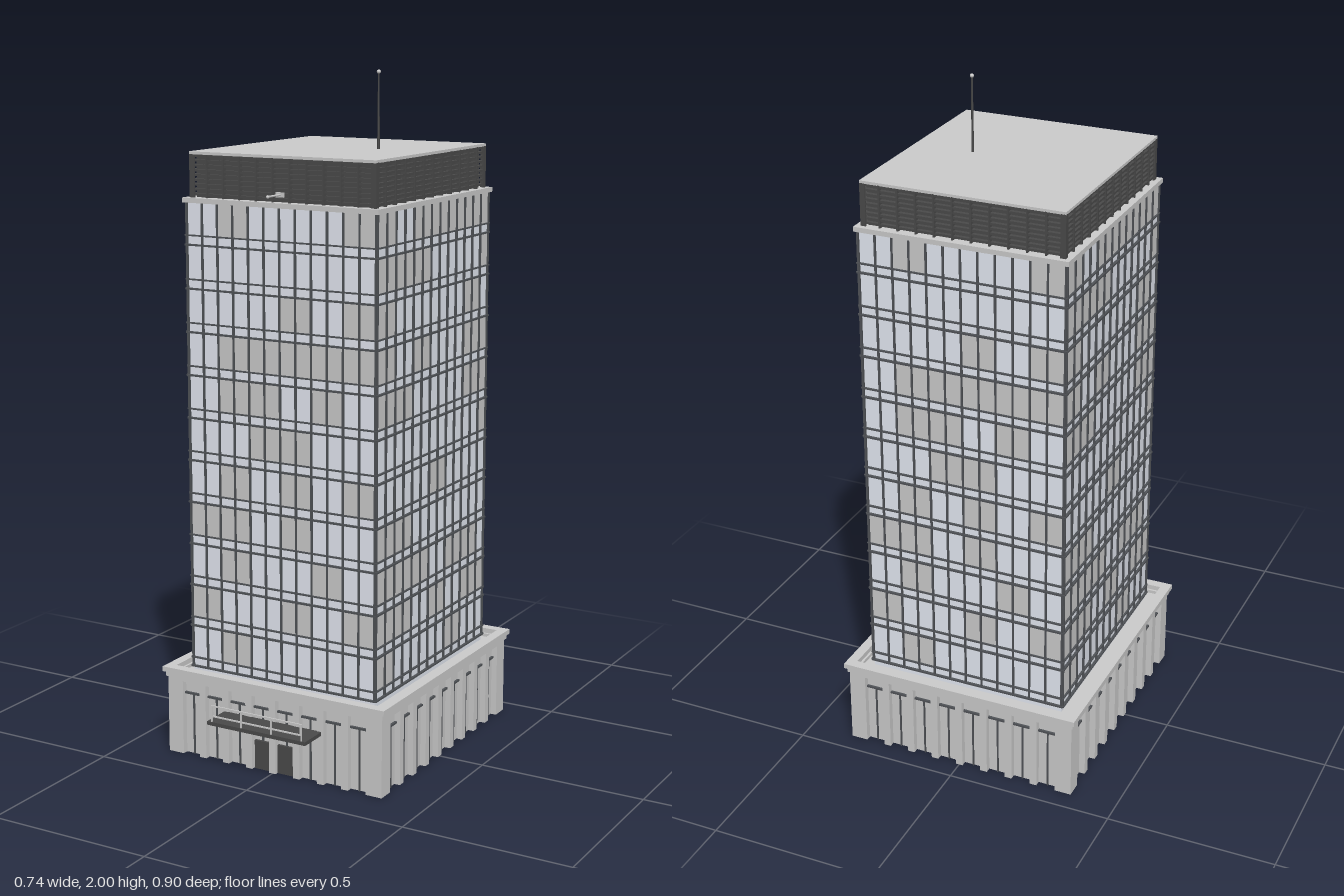
import * as THREE from 'three';
import { mergeGeometries } from 'three/addons/utils/BufferGeometryUtils.js';

const mat = (color, side = THREE.FrontSide) => new THREE.MeshStandardMaterial({ color, side });
const stone = mat(0xcccccc), dark = mat(0x4a4a4a), glass = mat(0xe4e9f2), frame = mat(0x505357);
const liner = mat(0xe4e9f2, THREE.DoubleSide);

const box = (w, h, d, x = 0, y = 0, z = 0) => new THREE.BoxGeometry(w, h, d).translate(x, y, z);

function add(parent, name, geometry, material) {
  const mesh = new THREE.Mesh(Array.isArray(geometry) ? mergeGeometries(geometry) : geometry, material);
  mesh.name = name;
  parent.add(mesh);
  return mesh;
}

// Rectangular ring with outer size w x d, rim thickness t, from y0 to y1
function ring(w, d, t, y0, y1) {
  const h = y1 - y0, y = (y0 + y1) / 2;
  return [-1, 1].flatMap(s => [
    box(w, h, t, 0, y, s * (d - t) / 2),
    box(t, h, d - 2 * t, s * (w - t) / 2, y, 0),
  ]);
}

// Calls build(sideGroup, width, index) for front, right, back and left; each side faces its local +z
function fourSides(parent, name, w, d, build) {
  ['Front', 'Left', 'Back', 'Right'].forEach((label, i) => {
    const side = new THREE.Group();
    side.name = name + label;
    side.rotation.y = i * Math.PI / 2;
    const pivot = new THREE.Group();
    pivot.position.z = (i % 2 ? w : d) / 2;
    side.add(pivot);
    build(pivot, i % 2 ? d : w, i);
    parent.add(side);
  });
}

// Drawn blinds per floor from the top, one mark per pair of panes
const BLINDS = [
  ['010001', '000000', '000101', '011111', '011010', '001100', '010101', '110100', '010010', '100101', '010000'],
  ['1011111', '1110001', '1000010', '1010011', '1100011', '0000001', '0001000', '1100000', '1110110', '1101011', '1000100'],
];

function createPodium() {
  const podium = new THREE.Group();
  podium.name = 'podium';
  const W = 0.72, D = 0.8, pitch = 0.08;

  // Walls: recessed panels between pilasters, open underneath
  fourSides(podium, 'podiumWall', W, D, (side, w) => {
    const bays = Math.round((w - 0.08) / pitch);
    add(side, 'panel', box(w - 0.04, 0.23, 0.004, 0, 0.115, -0.02), stone);
    add(side, 'innerLining', new THREE.PlaneGeometry(w - 0.05, 0.23).translate(0, 0.115, -0.025), liner);
    const pilasters = [], transoms = [];
    for (let i = 0; i <= bays; i++) {
      const x = (i - bays / 2) * pitch;
      pilasters.push(box(0.022, 0.225, 0.022, x, 0.1125, -0.011));
      if (i < bays) {
        transoms.push(box(pitch - 0.022, 0.006, 0.008, x + pitch / 2, 0.188, -0.015));
        transoms.push(box(0.004, 0.188, 0.006, x + pitch / 2, 0.094, -0.016));
      }
    }
    add(side, 'pilasters', pilasters, stone);
    add(side, 'transoms', transoms, frame);
    add(side, 'lintel', box(w, 0.015, 0.022, 0, 0.2325, -0.011), stone);
  });
  const corners = [-1, 1].flatMap(sx => [-1, 1].map(sz =>
    box(0.04, 0.225, 0.04, sx * (W / 2 - 0.02), 0.1125, sz * (D / 2 - 0.02))));
  add(podium, 'cornerPiers', corners, stone);

  // Cornice, roof and parapet
  add(podium, 'podiumRoof', box(W, 0.01, D, 0, 0.235, 0), stone);
  add(podium, 'cornice', ring(0.73, 0.81, 0.03, 0.235, 0.25), stone);
  add(podium, 'parapet', ring(0.744, 0.824, 0.03, 0.25, 0.265), stone);
  return podium;
}

function createTower() {
  const tower = new THREE.Group();
  tower.name = 'tower';
  const W = 0.61, D = 0.685, y0 = 0.24, base = 0.26, top = 1.64, floors = 11;
  const rise = (top - base) / floors, sill = 0.027;
  add(tower, 'glassBody', box(W, top - y0, D, 0, (top + y0) / 2, 0), glass);

  fourSides(tower, 'facade', W, D, (side, w, index) => {
    const panes = index % 2 ? 13 : 12, step = w / panes;
    const mullions = [], rails = [], blinds = [];
    for (let i = 0; i <= panes; i++) {
      mullions.push(box(0.005, top - base, 0.008, (i - panes / 2) * step, (top + base) / 2, 0.002));
    }
    for (let f = 0; f < floors; f++) {
      const y = base + f * rise;
      rails.push(box(w + 0.01, 0.005, 0.012, 0, y, 0.002), box(w + 0.01, 0.004, 0.01, 0, y + sill, 0.002));
      const row = BLINDS[index % 2][floors - 1 - f];
      for (let p = 0; p < panes; p++) {
        if (row[p >> 1] !== '1') continue;
        blinds.push(box(step, rise - sill, 0.002, (p + 0.5 - panes / 2) * step, y + (rise + sill) / 2, 0.0005));
      }
    }
    add(side, 'mullions', mullions, frame);
    add(side, 'floorRails', rails, frame);
    add(side, 'blinds', blinds, stone);
  });
  add(tower, 'towerCoping', box(0.63, 0.014, 0.705, 0, 1.641, 0), stone);
  return tower;
}

function createCrown() {
  const crown = new THREE.Group();
  crown.name = 'crown';
  const W = 0.6, D = 0.674, y0 = 1.648, y1 = 1.77;
  add(crown, 'plantRoom', box(W - 0.03, y1 - y0, D - 0.03, 0, (y0 + y1) / 2, 0), dark);

  // Louvres with vertical fins on every side
  const slats = [];
  for (let i = 0; i < 9; i++) {
    const y = y0 + 0.006 + i * 0.0135;
    slats.push(...ring(W - 0.006, D - 0.006, 0.014, y, y + 0.006));
  }
  add(crown, 'louvres', slats, dark);
  fourSides(crown, 'crownFins', W, D, (side, w, index) => {
    const n = index % 2 ? 12 : 11, fins = [];
    for (let i = 0; i <= n; i++) {
      fins.push(box(0.005, y1 - y0, 0.016, (i / n - 0.5) * (w - 0.005), (y0 + y1) / 2, -0.008));
    }
    add(side, 'fins', fins, dark);
  });
  add(crown, 'crownRoof', box(W, 0.008, D, 0, 1.773, 0), stone);
  return crown;
}

function createEntrance() {
  const entrance = new THREE.Group();
  entrance.name = 'entrance';
  const doors = [-1, 1].map(s => box(0.054, 0.087, 0.012, s * 0.039, 0.0435, 0.344));
  add(entrance, 'doors', doors, dark);
  add(entrance, 'canopy', box(0.328, 0.011, 0.092, 0, 0.154, 0.404), dark);
  // Blank fascia board standing on the canopy edge
  add(entrance, 'fascia', ring(0.3, 0.035, 0.004, -0.002, 0.002).map(g =>
    g.rotateX(Math.PI / 2).translate(0, 0.192, 0.447)), stone);
  const posts = [-0.15, -0.05, 0.05, 0.15].map(x => box(0.004, 0.052, 0.004, x, 0.184, 0.447));
  add(entrance, 'fasciaPosts', posts, stone);
  return entrance;
}

export function createModel() {
  const model = new THREE.Group();
  model.name = 'officeTower';

  const building = new THREE.Group();
  building.name = 'building';
  building.position.z = -0.04;
  building.add(createPodium(), createTower(), createCrown());
  model.add(building, createEntrance());

  // Roof antenna
  add(model, 'antennaMast', new THREE.CylinderGeometry(0.0025, 0.004, 0.22, 8).translate(0.122, 1.886, -0.04), dark);
  add(model, 'antennaTip', new THREE.SphereGeometry(0.006, 10, 8).translate(0.122, 1.994, -0.04), stone);

  // Horizontal flagpole above the front
  add(model, 'flagpole', new THREE.CylinderGeometry(0.003, 0.003, 0.07, 8)
    .rotateX(Math.PI / 2).translate(0, 1.67, 0.33), stone);
  add(model, 'flagpoleBracket', box(0.026, 0.014, 0.005, 0, 1.67, 0.298), stone);
  add(model, 'flagpoleTip', new THREE.SphereGeometry(0.005, 10, 8).translate(0, 1.67, 0.363), stone);
  return model;
}
